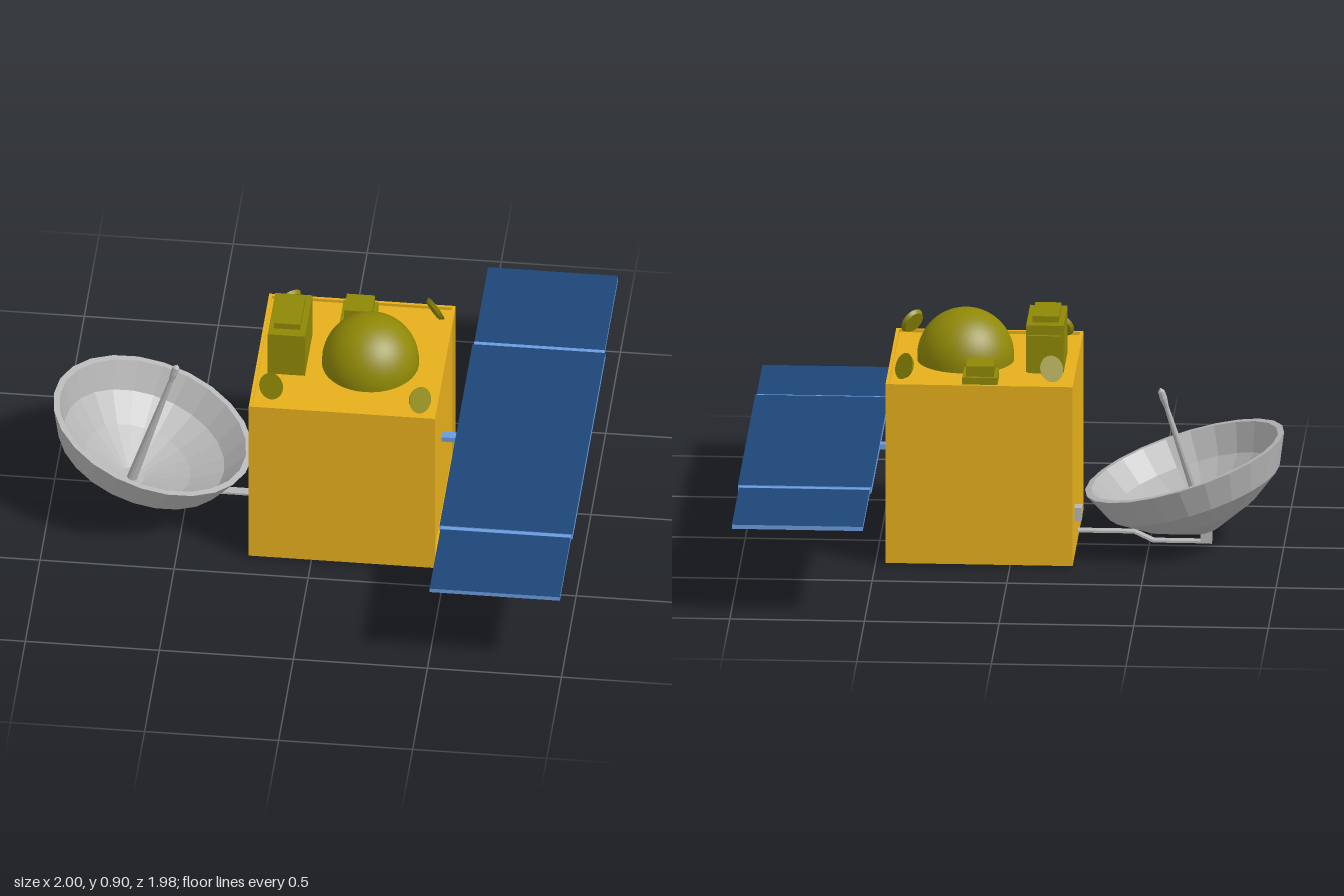
import * as THREE from 'three';

const mat = (name, color, extra = {}) => {
  const m = new THREE.MeshStandardMaterial({ color, ...extra });
  m.name = name;
  return m;
};

export function createModel() {
  const gold = mat('gold foil', 0xe6b01c);
  const olive = mat('olive instruments', 0x8f8806);
  const grey = mat('grey metal', 0xb6b6b6, { flatShading: true });
  const navy = mat('solar cells', 0x1d4679);
  const blue = mat('panel frame', 0x6a9ce0);

  const model = new THREE.Group();
  model.name = 'satellite';
  const add = (name, geometry, material, parent = model) => {
    const mesh = new THREE.Mesh(geometry, material);
    mesh.name = name;
    parent.add(mesh);
    return mesh;
  };
  // box given by its extents
  const box = (name, material, x0, x1, y0, y1, z0, z1) => {
    const mesh = add(name, new THREE.BoxGeometry(x1 - x0, y1 - y0, z1 - z0), material);
    mesh.position.set((x0 + x1) / 2, (y0 + y1) / 2, (z0 + z1) / 2);
    return mesh;
  };
  // square frame with an opening, extruded along its local z
  const frame = (name, size, lip, depth) => {
    const square = (S, r) => new S([[-r, -r], [r, -r], [r, r], [-r, r]].map(p => new THREE.Vector2(...p)));
    const shape = square(THREE.Shape, size / 2);
    shape.holes.push(square(THREE.Path, size / 2 - lip));
    return add(name, new THREE.ExtrudeGeometry(shape, { depth, bevelEnabled: false }), gold);
  };

  // body with raised lips around the top and the panel side
  const cx = 0.1145, cz = 0.0495, lip = 0.012;
  box('body', gold, -0.233, 0.462 - lip, 0.007, 0.702 - lip, -0.298, 0.397);
  const topLip = frame('topLip', 0.695, lip, lip);
  topLip.rotation.x = -Math.PI / 2;
  topLip.position.set(cx, 0.702 - lip, cz);
  const sideLip = frame('sideLip', 0.695, lip, lip);
  sideLip.rotation.y = Math.PI / 2;
  sideLip.position.set(0.462 - lip, 0.3545, cz);

  // instruments on the roof
  const dome = add('dome', new THREE.SphereGeometry(0.18, 40, 20, 0, Math.PI * 2, 0, Math.PI / 2), olive);
  dome.position.set(0.185, 0.705, 0.067);
  const domeBase = add('domeBase', new THREE.CylinderGeometry(0.18, 0.18, 0.017, 40, 1, true), olive);
  domeBase.position.set(0.185, 0.6965, 0.067);
  box('instrumentBox', olive, -0.187, -0.048, 0.688, 0.872, -0.083, 0.172);
  box('instrumentLid', olive, -0.167, -0.07, 0.872, 0.896, -0.043, 0.132);
  box('instrumentBack', olive, -0.18, -0.053, 0.688, 0.835, -0.095, -0.083);
  box('sensorBase', olive, 0.049, 0.179, 0.688, 0.722, -0.265, -0.135);
  box('sensorTop', olive, 0.062, 0.166, 0.722, 0.762, -0.251, -0.148);

  // small tilted discs at the corners, facing outwards and up
  const up = new THREE.Vector3(0, 1, 0);
  for (const [x, z, nx, nz] of [
    [-0.147, -0.215, -0.6, -0.8], [0.394, -0.212, 0.8, -0.6],
    [-0.155, 0.318, -0.4, 0.9], [0.397, 0.344, 0.72, 0.7],
  ]) {
    const disc = add('cornerDisc', new THREE.CylinderGeometry(0.05, 0.042, 0.014, 24), olive);
    disc.position.set(x, 0.745, z);
    disc.quaternion.setFromUnitVectors(up, new THREE.Vector3(nx, 0.42, nz).normalize());
  }

  // dish: thick faceted bowl, tilted towards the body
  const dish = new THREE.Group();
  dish.name = 'dish';
  dish.position.set(-0.629, 0.315, 0.047);
  dish.rotation.z = -0.308;
  model.add(dish);
  const profile = [
    [0, -0.28], [0.05, -0.277], [0.22, -0.2], [0.333, -0.118], [0.388, 0],
    [0.364, 0], [0.312, -0.103], [0.205, -0.18], [0.045, -0.252], [0, -0.255],
  ].map(p => new THREE.Vector2(...p));
  add('bowl', new THREE.LatheGeometry(profile, 24), grey, dish);

  // feed rod with a swollen tip
  const rodProfile = [
    [0, -0.26], [0.02, -0.26], [0.014, 0], [0.009, 0.22], [0.014, 0.255], [0.013, 0.285], [0, 0.299],
  ].map(p => new THREE.Vector2(...p));
  const rod = add('feedRod', new THREE.LatheGeometry(rodProfile, 10), grey, dish);
  rod.rotation.x = -0.03;

  // bent arm and brackets holding the dish
  const armShape = new THREE.Shape([
    [-0.73, 0], [-0.512, 0], [-0.44, 0.034], [-0.23, 0.034],
    [-0.23, 0.042], [-0.443, 0.042], [-0.516, 0.008], [-0.73, 0.008],
  ].map(p => new THREE.Vector2(...p)));
  const arm = add('dishArm', new THREE.ExtrudeGeometry(armShape, { depth: 0.036, bevelEnabled: false }), grey);
  arm.position.z = 0.032;
  box('dishFoot', grey, -0.731, -0.69, 0, 0.068, 0.029, 0.07);
  box('sideBracket', grey, -0.26, -0.233, 0.148, 0.198, -0.188, -0.138);

  // solar wing: blue frames with dark cells on the upper face only
  const wing = [blue, blue, navy, blue, blue, blue];
  box('wingStrut', blue, 0.447, 0.507, 0.344, 0.364, 0.029, 0.065);
  box('wingMiddle', wing, 0.502, 0.998, 0.342, 0.367, -0.51, 0.606);
  box('wingBack', wing, 0.507, 0.993, 0.347, 0.363, -0.989, -0.53);
  box('wingFront', wing, 0.507, 0.993, 0.347, 0.363, 0.622, 0.989);
  box('hingeBack', blue, 0.507, 0.993, 0.346, 0.364, -0.531, -0.509);
  box('hingeFront', blue, 0.507, 0.993, 0.346, 0.364, 0.605, 0.623);

  return model;
}
